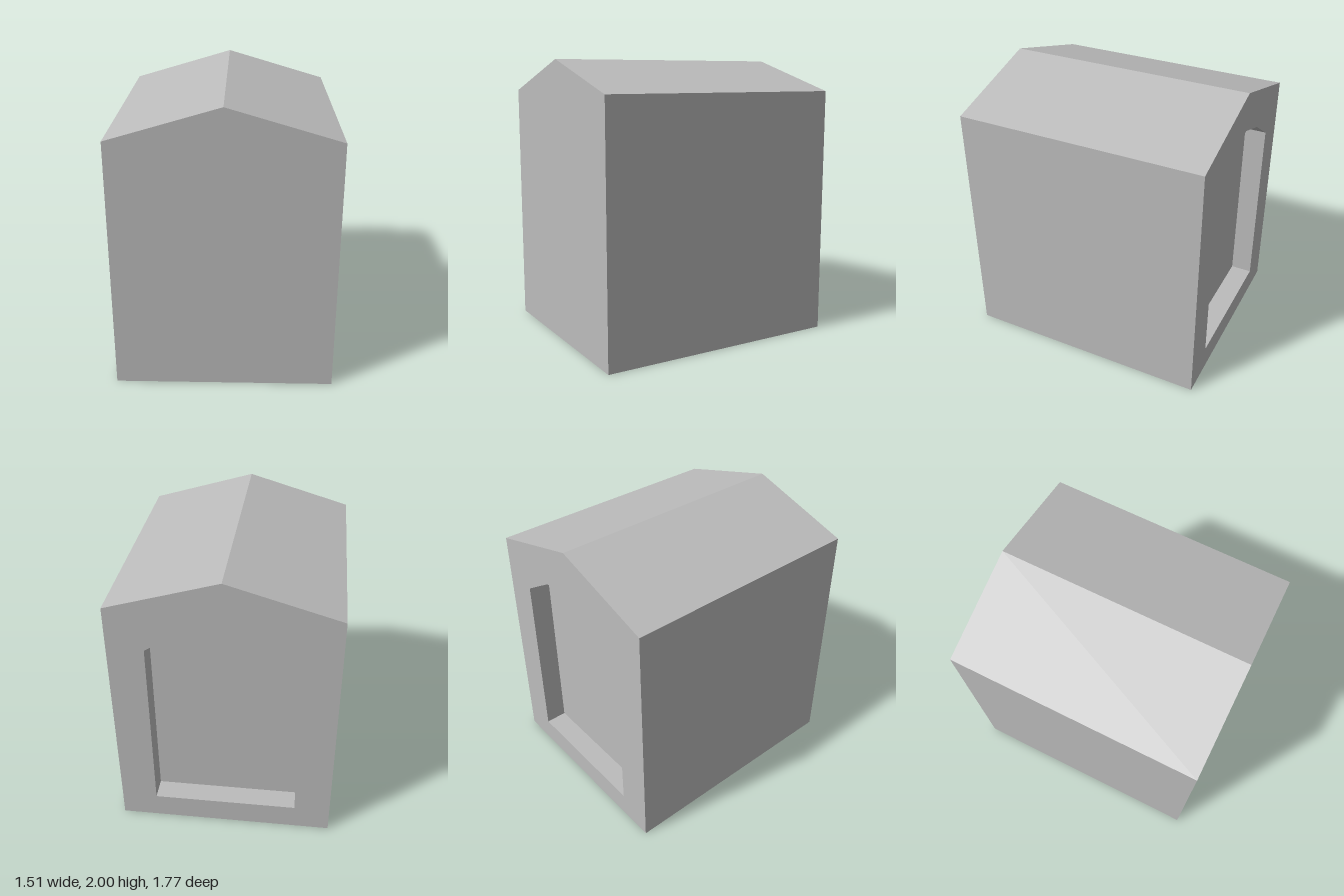
import * as THREE from 'three';

const HALF_DEPTH = 0.887;
const RECESS_Z = -0.732;

// Gabled outline and arched opening, counter-clockwise seen from the front
const outline = [[-0.757, 0], [0.757, 0], [0.757, 1.777], [0, 2], [-0.757, 1.777]];
const arch = [[-0.506, 0.18], [0.506, 0.18], [0.506, 1.478], [0.253, 1.64],
  [0, 1.725], [-0.253, 1.64], [-0.506, 1.478]];

const toVectors = (points) => points.map(([x, y]) => new THREE.Vector2(x, y));

// Flat quads swept along z over a path; they face to the right of its direction
function strip(points, z0, z1) {
  const positions = [];
  for (let i = 0; i < points.length - 1; i++) {
    const [ax, ay] = points[i];
    const [bx, by] = points[i + 1];
    positions.push(ax, ay, z0, bx, by, z0, bx, by, z1);
    positions.push(ax, ay, z0, bx, by, z1, ax, ay, z1);
  }
  const geometry = new THREE.BufferGeometry();
  geometry.setAttribute('position', new THREE.Float32BufferAttribute(positions, 3));
  geometry.computeVertexNormals();
  return geometry;
}

// Flat panel at depth z, turned to the back if asked
function panel(points, z, facesBack = false, hole = null) {
  const shape = new THREE.Shape(toVectors(points));
  if (hole) shape.holes.push(new THREE.Path(toVectors(hole)));
  const geometry = new THREE.ShapeGeometry(shape);
  if (facesBack) geometry.rotateY(Math.PI);
  return geometry.translate(0, 0, z);
}

export function createModel() {
  const group = new THREE.Group();
  group.name = 'gabledBlock';
  const grey = new THREE.MeshStandardMaterial({ color: 0xbcbcbc });
  grey.name = 'plainGrey';

  const add = (name, geometry) => {
    const mesh = new THREE.Mesh(geometry, grey);
    mesh.name = name;
    group.add(mesh);
  };

  const [left, right, rightEave, ridge, leftEave] = outline;

  // Outer shell
  add('floor', strip([left, right], -HALF_DEPTH, HALF_DEPTH));
  add('leftWall', strip([right, rightEave], -HALF_DEPTH, HALF_DEPTH));
  add('rightWall', strip([leftEave, left], -HALF_DEPTH, HALF_DEPTH));
  add('roof', strip([rightEave, ridge, leftEave], -HALF_DEPTH, HALF_DEPTH));
  add('frontWall', panel(outline, HALF_DEPTH));
  add('backWall', panel(outline, -HALF_DEPTH, true, arch));

  // Shallow arched niche in the back
  add('nicheSides', strip([...arch, arch[0]].reverse(), -HALF_DEPTH, RECESS_Z));
  add('nichePanel', panel(arch, RECESS_Z, true));

  return group;
}
